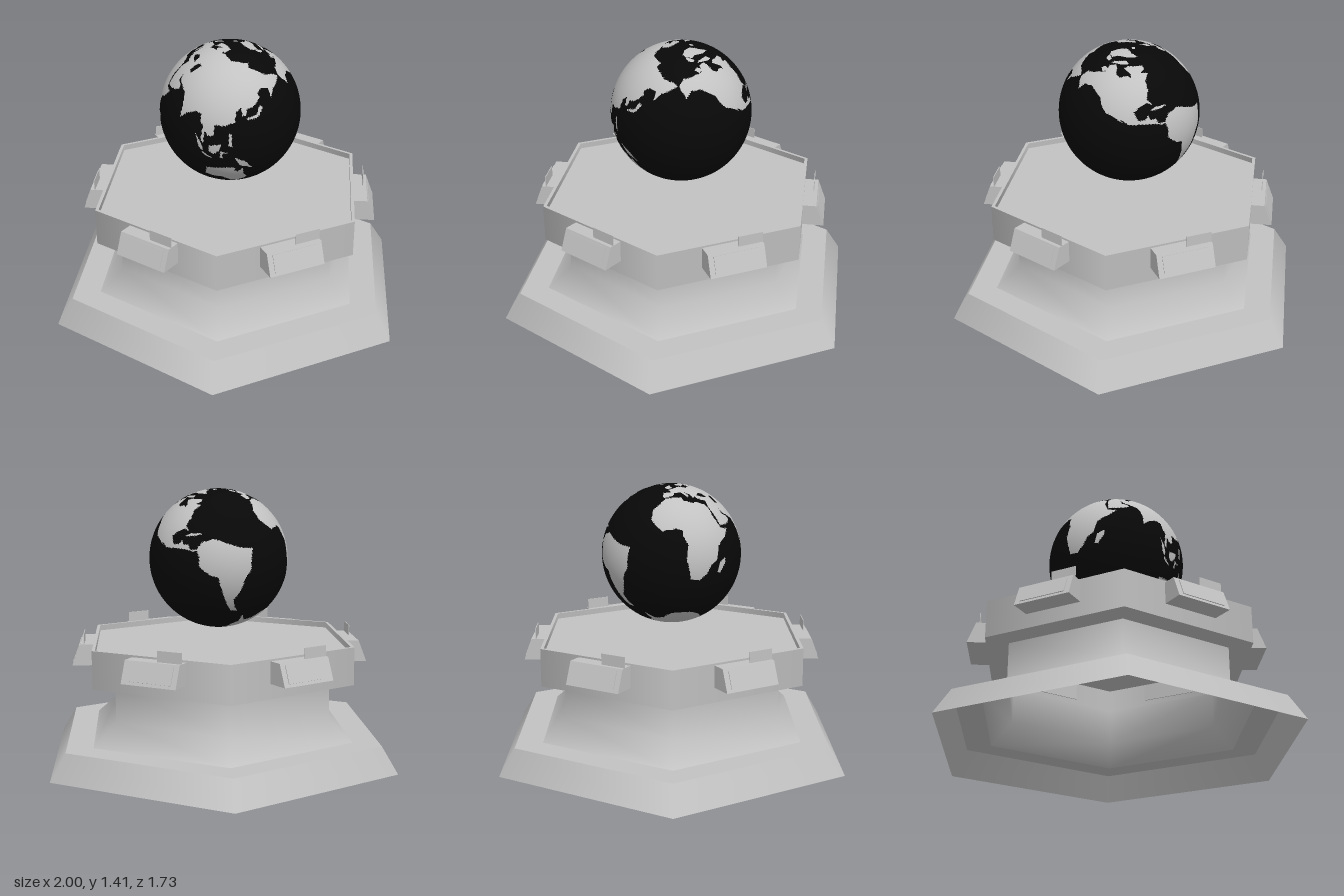
import * as THREE from 'three';

const grey = new THREE.MeshStandardMaterial({ color: 0xc2c2c2, side: THREE.DoubleSide });
grey.name = 'stone grey';
const black = new THREE.MeshStandardMaterial({ color: 0x080808 });
black.name = 'ocean black';

// Coarse coastlines, each a loop of longitude, latitude pairs
const lands = {
  europe: [-9, 43, -9, 37, -5, 36, 0, 38, 3, 42, 9, 44, 12, 42, 16, 38, 18, 40, 13, 45, 19, 42, 22, 37, 24, 40, 27, 37,
    36, 36, 45, 36, 45, 67, 40, 65, 34, 66, 41, 67, 28, 71, 15, 68, 5, 62, 6, 58, 11, 59, 13, 56, 17, 60, 22, 65,
    22, 60, 30, 60, 22, 57, 20, 54, 10, 55, 8, 54, 3, 51, -4, 48, -1, 44],
  asia: [35, 37, 35, 30, 39, 21, 43, 13, 52, 16, 59, 22, 56, 25, 51, 25, 48, 30, 52, 27, 57, 26, 66, 25, 70, 21, 73, 17,
    77, 8, 80, 14, 87, 21, 92, 22, 95, 16, 98, 15, 101, 3, 104, 1, 101, 12, 105, 9, 109, 12, 106, 20, 113, 22,
    121, 28, 119, 36, 122, 40, 126, 34, 129, 36, 128, 40, 135, 44, 141, 52, 137, 54, 143, 59, 155, 59, 157, 51,
    163, 58, 170, 60, 179, 63, 190, 66, 180, 69, 160, 70, 140, 73, 113, 74, 104, 78, 80, 73, 68, 69, 44, 67, 44, 37],
  africa: [-6, 35, 10, 37, 11, 33, 20, 31, 22, 33, 32, 31, 35, 27, 37, 20, 43, 11, 51, 12, 47, 4, 40, -4, 40, -15, 35, -21,
    33, -27, 27, -34, 18, -34, 12, -17, 13, -7, 9, 0, 9, 4, 4, 6, -8, 4, -17, 14, -16, 23, -10, 30],
  northAmerica: [-168, 66, -157, 71, -128, 70, -110, 68, -95, 72, -82, 69, -86, 66, -94, 61, -92, 57, -82, 55, -80, 51,
    -77, 56, -78, 62, -70, 61, -65, 58, -56, 53, -60, 50, -66, 50, -61, 46, -70, 43, -75, 36, -81, 31, -80, 25,
    -83, 29, -90, 29, -97, 27, -97, 20, -91, 18, -87, 21, -88, 16, -83, 15, -83, 10, -77, 8, -80, 7, -87, 12,
    -95, 16, -105, 20, -112, 29, -109, 23, -115, 30, -121, 35, -124, 42, -124, 48, -135, 58, -150, 60, -160, 55,
    -162, 59, -166, 62],
  southAmerica: [-78, 8, -72, 12, -62, 11, -50, 1, -44, -3, -35, -6, -39, -15, -41, -22, -48, -27, -53, -34, -58, -38,
    -65, -42, -67, -50, -66, -55, -74, -52, -73, -38, -70, -19, -76, -14, -81, -5, -78, 2],
  australia: [114, -22, 122, -18, 129, -14, 136, -12, 136, -16, 140, -17, 142, -11, 146, -19, 153, -26, 150, -37, 144, -38,
    138, -34, 131, -31, 123, -34, 115, -34],
  antarctica: [-180, -78, -150, -76, -100, -73, -75, -73, -60, -64, -60, -75, -30, -77, 0, -70, 50, -66, 90, -66, 130, -66,
    165, -71, 170, -78, 180, -78, 180, -91, -180, -91],
  greenland: [-45, 60, -54, 67, -57, 75, -70, 78, -60, 82, -30, 83, -19, 77, -23, 70, -38, 66],
  ellesmere: [-90, 77, -78, 77, -62, 82, -75, 83, -92, 81],
  baffin: [-88, 73, -78, 73, -62, 66, -66, 62, -74, 65, -80, 70],
  victoria: [-118, 73, -105, 73, -102, 69, -115, 69],
  britain: [-5, 50, 1, 51, -2, 56, -4, 59, -6, 56, -9, 52],
  iceland: [-23, 64, -18, 63, -14, 65, -18, 66.5, -23, 66],
  madagascar: [44, -25, 47, -25, 50, -16, 49, -12, 44, -17],
  sumatra: [95, 6, 104, -1, 106, -6, 102, -4],
  java: [105, -6, 115, -8, 115, -9, 106, -8],
  borneo: [109, 2, 114, 5, 117, 7, 118, 2, 115, -4, 110, -3],
  sulawesi: [119, 1, 125, 2, 121, -1, 123, -5, 120, -5],
  newGuinea: [131, -1, 141, -3, 150, -10, 138, -8],
  philippines: [120, 18, 122, 18, 126, 8, 123, 8],
  japan: [130, 32, 136, 34, 141, 36, 145, 44, 141, 45, 139, 38, 131, 34],
  newZealand: [167, -46, 173, -40, 173, -35, 178, -38, 171, -46],
  cuba: [-84, 22, -75, 19, -69, 18, -72, 20, -80, 23],
};
const seas = [
  [28, 42, 31, 46, 37, 46, 41, 42, 35, 41],
  [47, 45, 53, 47, 54, 37, 49, 37],
];

function inside(loop, x, y) {
  let hit = false;
  for (let i = 0, j = loop.length - 2; i < loop.length; j = i, i += 2) {
    const [ax, ay, bx, by] = [loop[i], loop[i + 1], loop[j], loop[j + 1]];
    if ((ay > y) !== (by > y) && x < ((bx - ax) * (y - ay)) / (by - ay) + ax) hit = !hit;
  }
  return hit;
}

function isLand(lon, lat) {
  const any = (loops) => loops.some((l) => inside(l, lon, lat) || inside(l, lon - 360, lat));
  return any(Object.values(lands)) && !any(seas);
}

// Tilted globe: the faces of a sphere are sorted into land and ocean
function makeGlobe() {
  const geo = new THREE.SphereGeometry(0.363, 288, 144);
  const uv = geo.attributes.uv;
  const idx = geo.index.array;
  const land = [], ocean = [];
  for (let i = 0; i < idx.length; i += 3) {
    const tri = [idx[i], idx[i + 1], idx[i + 2]];
    const u = tri.reduce((s, v) => s + uv.getX(v), 0) / 3;
    const v = tri.reduce((s, k) => s + uv.getY(k), 0) / 3;
    (isLand(u * 360, v * 180 - 90) ? land : ocean).push(...tri);
  }
  geo.setIndex([...land, ...ocean]);
  geo.clearGroups();
  geo.addGroup(0, land.length, 0);
  geo.addGroup(land.length, ocean.length, 1);
  const globe = new THREE.Mesh(geo, [grey, black]);
  globe.name = 'globe';
  globe.position.y = 1.045;
  globe.rotation.z = THREE.MathUtils.degToRad(-23.4);
  return globe;
}

// Six-sided band swept from a short profile of [radius, height]
function hexBand(name, profile) {
  const points = profile.map(([r, y]) => new THREE.Vector2(r, y));
  const mesh = new THREE.Mesh(new THREE.LatheGeometry(points, 6, Math.PI / 2), grey);
  mesh.name = name;
  return mesh;
}

// Wedge-shaped clip with an inset panel and a thin upright tab
function makeClip() {
  const clip = new THREE.Group();
  const add = (name, geo) => {
    const mesh = new THREE.Mesh(geo, grey);
    mesh.name = name;
    clip.add(mesh);
    return mesh;
  };
  const side = new THREE.Shape([[0.65, 0.51], [0.767, 0.51], [0.725, 0.62], [0.65, 0.62]]
    .map(([z, y]) => new THREE.Vector2(z, y)));
  const wedge = new THREE.ExtrudeGeometry(side, { depth: 0.296, bevelEnabled: false });
  add('clipBody', wedge.rotateY(-Math.PI / 2).translate(0.148, 0, 0));
  const panel = add('clipPanel', new THREE.BoxGeometry(0.24, 0.09, 0.006));
  panel.position.set(0, 0.567, 0.746);
  panel.rotation.x = -0.365;
  add('clipTab', new THREE.BoxGeometry(0.13, 0.06, 0.004).translate(0.083, 0.645, 0.705));
  return clip;
}

export function createModel() {
  const model = new THREE.Group();
  model.name = 'globePedestal';

  // Hollow pedestal, open underneath
  model.add(
    hexBand('baseSkirt', [[1, 0], [0.912, 0.135]]),
    hexBand('baseLedge', [[0.912, 0.135], [0.757, 0.135]]),
    hexBand('neck', [[0.757, 0.135], [0.627, 0.245], [0.627, 0.435]]),
    hexBand('drumUnderside', [[0.627, 0.435], [0.757, 0.435]]),
    hexBand('drumWall', [[0.757, 0.435], [0.757, 0.63]]),
    hexBand('drumRim', [[0.757, 0.63], [0.738, 0.63]]),
    hexBand('rimInnerWall', [[0.738, 0.63], [0.738, 0.6]]),
    hexBand('topPlate', [[0.738, 0.6], [0, 0.6]]),
  );

  // One clip on each side of the drum
  for (let i = 0; i < 6; i++) {
    const clip = makeClip();
    clip.name = `clip${i + 1}`;
    clip.rotation.y = (i * Math.PI) / 3;
    model.add(clip);
  }

  model.add(makeGlobe());
  return model;
}
